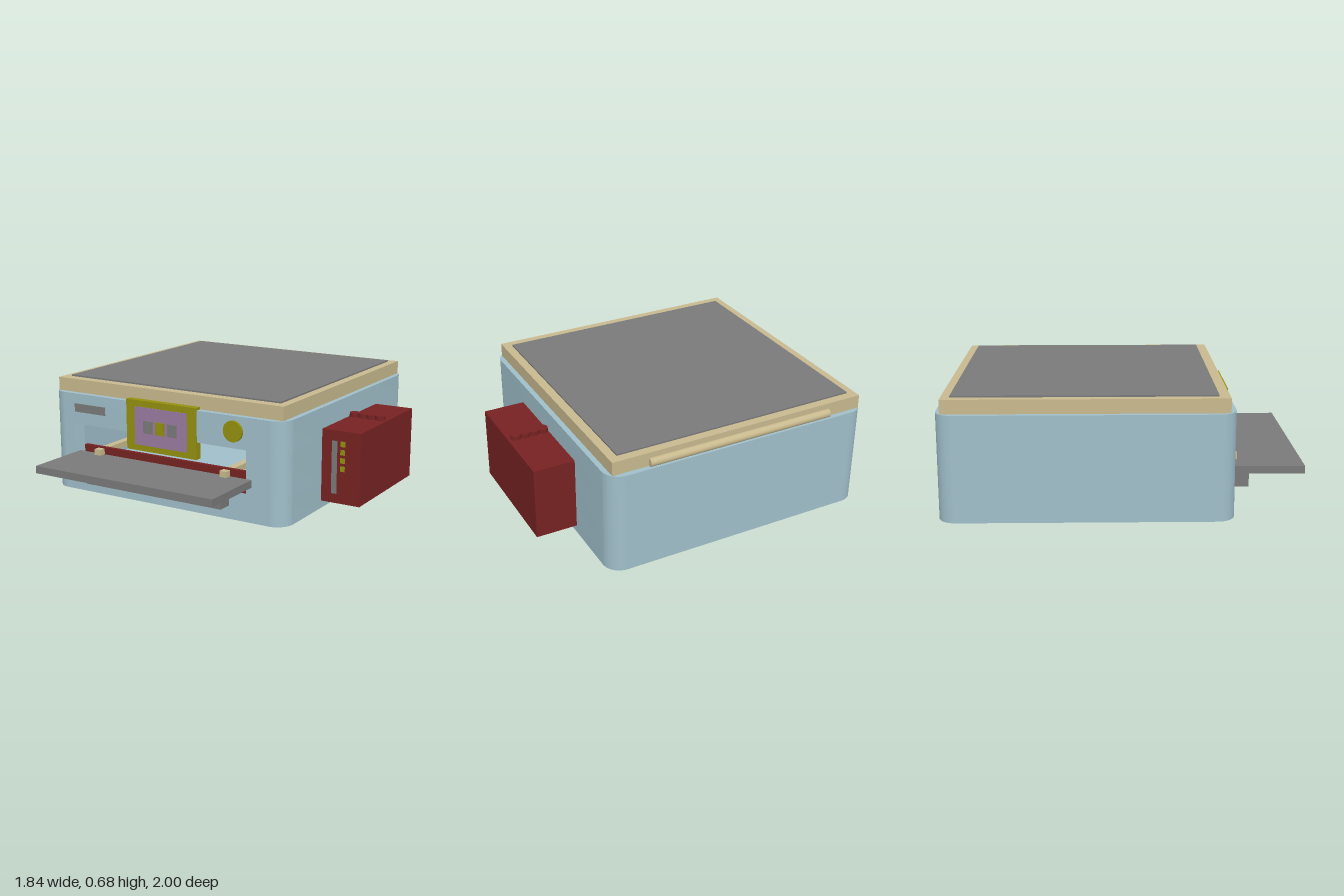
import * as THREE from 'three';
import { toCreasedNormals } from 'three/addons/utils/BufferGeometryUtils.js';

const mat = (name, color) => {
  const m = new THREE.MeshStandardMaterial({ color });
  m.name = name;
  return m;
};

export function createModel() {
  const blue = mat('blue casing', 0xa0bfca);
  const beige = mat('beige trim', 0xc8b98e);
  const gray = mat('gray', 0x7a7a7a);
  const red = mat('dark red', 0x772222);
  const olive = mat('olive', 0x949010);
  const purple = mat('purple screen', 0x9a7ba2);

  const model = new THREE.Group();
  model.name = 'machine';
  const add = (name, geometry, material) => {
    const mesh = new THREE.Mesh(geometry, material);
    mesh.name = name;
    model.add(mesh);
    return mesh;
  };
  // Box given by its extents along each axis
  const box = (name, material, [x0, x1], [y0, y1], [z0, z1]) =>
    add(name, new THREE.BoxGeometry(x1 - x0, y1 - y0, z1 - z0), material)
      .position.set((x0 + x1) / 2, (y0 + y1) / 2, (z0 + z1) / 2);

  // Casing outline with rounded corners (shape y is -z), optionally notched at the front
  const outline = (notched) => {
    const [l, r, f, b, c] = [-0.92, 0.68, -0.6, 1, 0.1];
    const s = new THREE.Shape();
    s.moveTo(l + c, f);
    if (notched) {
      s.lineTo(-0.68, f);
      s.lineTo(-0.68, 0.5);
      s.lineTo(0.44, 0.5);
      s.lineTo(0.44, f);
    }
    s.lineTo(r - c, f);
    s.absarc(r - c, f + c, c, -Math.PI / 2, 0);
    s.lineTo(r, b - c);
    s.absarc(r - c, b - c, c, 0, Math.PI / 2);
    s.lineTo(l + c, b);
    s.absarc(l + c, b - c, c, Math.PI / 2, Math.PI);
    s.lineTo(l, f + c);
    s.absarc(l + c, f + c, c, Math.PI, Math.PI * 1.5);
    return s;
  };
  const layer = (name, y0, y1, notched) => {
    const g = new THREE.ExtrudeGeometry(outline(notched), { depth: y1 - y0, bevelEnabled: false, curveSegments: 10 });
    g.rotateX(-Math.PI / 2);
    add(name, toCreasedNormals(g, 0.6), blue).position.y = y0;
  };

  // Casing: base, layer with the front slot, and top
  layer('casingBase', 0, 0.165, false);
  layer('casingSlot', 0.165, 0.41, true);
  layer('casingTop', 0.41, 0.593, false);

  // Lid, plate and rear hinge
  box('lid', beige, [-0.89, 0.65], [0.593, 0.672], [-0.97, 0.565]);
  box('lidPlate', gray, [-0.84, 0.6], [0.66, 0.681], [-0.92, 0.505]);
  const hinge = add('hinge', new THREE.CylinderGeometry(0.024, 0.024, 1.12, 24), beige);
  hinge.rotation.z = Math.PI / 2;
  hinge.position.set(-0.12, 0.617, -0.976);

  // Front tray with its sill, arms and hanging panel
  box('slotSill', red, [-0.68, 0.44], [0.165, 0.29], [0.575, 0.599]);
  box('tray', gray, [-0.715, 0.475], [0.205, 0.248], [0.6, 1]);
  box('trayPanel', gray, [-0.585, 0.345], [0.087, 0.205], [0.625, 0.71]);
  for (const x of [-0.555, 0.315]) {
    box('trayArm', beige, [x - 0.022, x + 0.022], [0.248, 0.283], [-0.45, 0.64]);
    box('trayBracket', beige, [x - 0.022, x + 0.022], [0.13, 0.205], [0.6, 0.626]);
  }

  // Control panel with screen and buttons
  box('controlPanel', olive, [-0.36, 0.12], [0.31, 0.607], [0.565, 0.606]);
  box('screen', purple, [-0.3, 0.058], [0.345, 0.57], [0.605, 0.61]);
  [gray, olive, gray].forEach((material, i) => {
    const x = -0.205 + i * 0.083;
    box('screenButton', material, [x - 0.03, x + 0.03], [0.42, 0.493], [0.609, 0.617]);
  });

  // Knob and badge plate
  const knob = add('knob', new THREE.CylinderGeometry(0.06, 0.06, 0.02, 32), olive);
  knob.rotation.x = Math.PI / 2;
  knob.position.set(0.36, 0.508, 0.605);
  box('frontPlate', gray, [-0.745, -0.52], [0.483, 0.533], [0.597, 0.604]);

  // Side box with round caps on top and a strip with marks on its front
  box('sideBox', red, [0.68, 0.92], [0.045, 0.47], [-0.57, 0.163]);
  for (let i = 0; i < 4; i++) {
    add('topCap', new THREE.CylinderGeometry(0.03, 0.03, 0.03, 24), red)
      .position.set(0.71 + i * 0.054, 0.48, -0.2);
    const y = 0.395 - i * 0.048;
    box('sideMark', olive, [0.795, 0.825], [y - 0.016, y + 0.016], [0.162, 0.164]);
  }
  box('sideStrip', gray, [0.742, 0.776], [0.1, 0.41], [0.162, 0.164]);

  return model;
}
